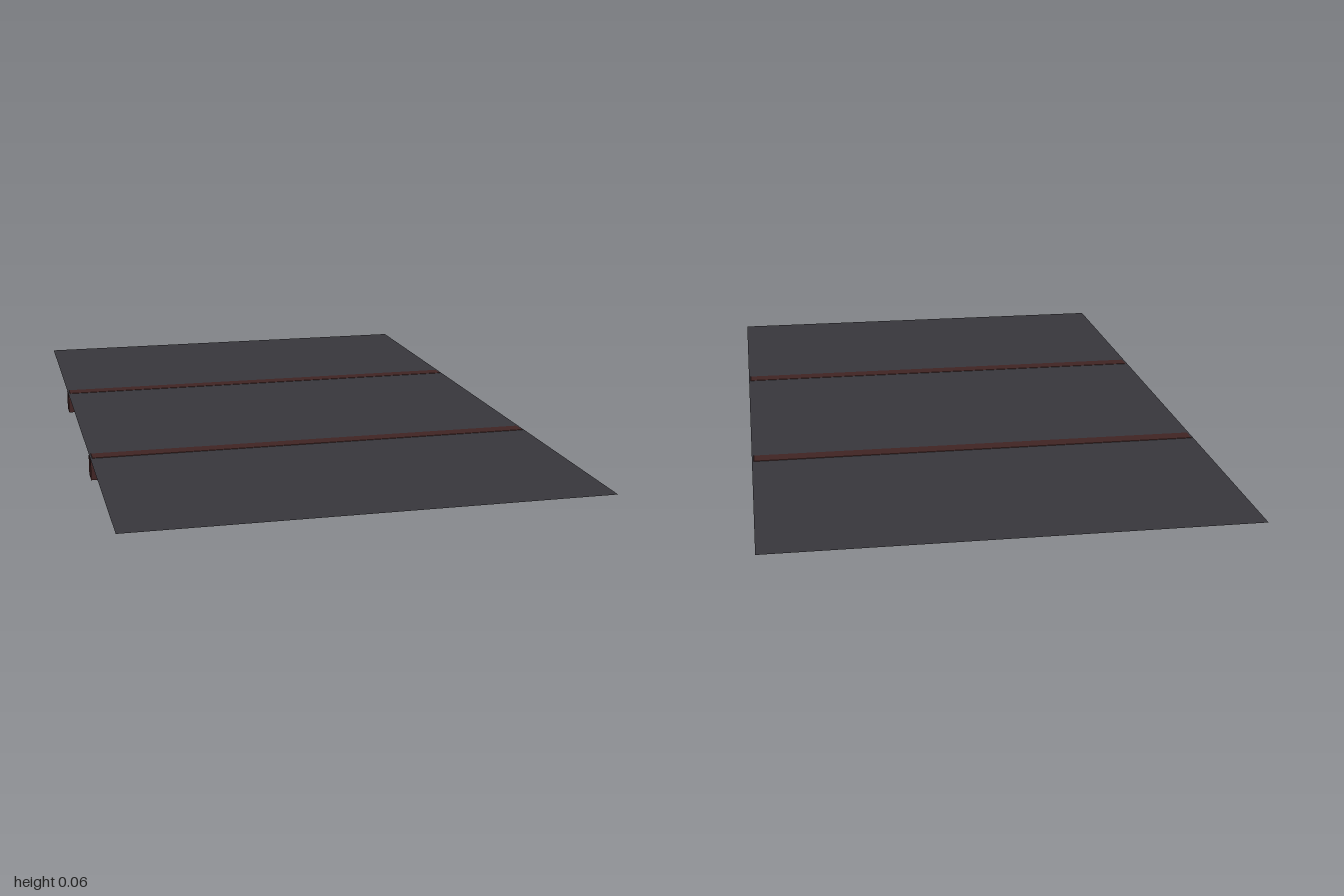
import * as THREE from 'three';

const WIDTH = 1.27, HEIGHT = 0.062, DEPTH = 0.055, BEVEL = 0.006;

// Beam along x with bevelled top edges
function beamGeometry() {
  const box = new THREE.BoxGeometry(WIDTH, HEIGHT, DEPTH, 1, 2, 1).translate(0, HEIGHT / 2, 0);
  const p = box.attributes.position;
  for (let i = 0; i < p.count; i++) {
    const y = p.getY(i);
    if (y > HEIGHT * 0.9) {
      p.setX(i, p.getX(i) - Math.sign(p.getX(i)) * BEVEL);
      p.setZ(i, p.getZ(i) - Math.sign(p.getZ(i)) * BEVEL);
    } else if (y > HEIGHT * 0.1) {
      p.setY(i, HEIGHT - BEVEL);
    }
  }
  const geometry = box.toNonIndexed();
  geometry.computeVertexNormals();
  return geometry;
}

export function createModel() {
  const model = new THREE.Group();
  model.name = 'panelOnBeams';

  const panelMaterial = new THREE.MeshStandardMaterial({ color: 0x37363c, side: THREE.DoubleSide });
  panelMaterial.name = 'charcoal';
  const beamMaterial = new THREE.MeshStandardMaterial({ color: 0x402423 });
  beamMaterial.name = 'dark brown';

  // Thin flat panel, just under the beam tops
  const panel = new THREE.Mesh(new THREE.PlaneGeometry(WIDTH, 2).rotateX(-Math.PI / 2), panelMaterial);
  panel.name = 'panel';
  panel.position.y = HEIGHT - 0.001;
  model.add(panel);

  // Two support beams
  const geometry = beamGeometry();
  for (const [name, z] of [['frontBeam', 0.365], ['backBeam', -0.365]]) {
    const beam = new THREE.Mesh(geometry, beamMaterial);
    beam.name = name;
    beam.position.z = z;
    model.add(beam);
  }
  return model;
}
